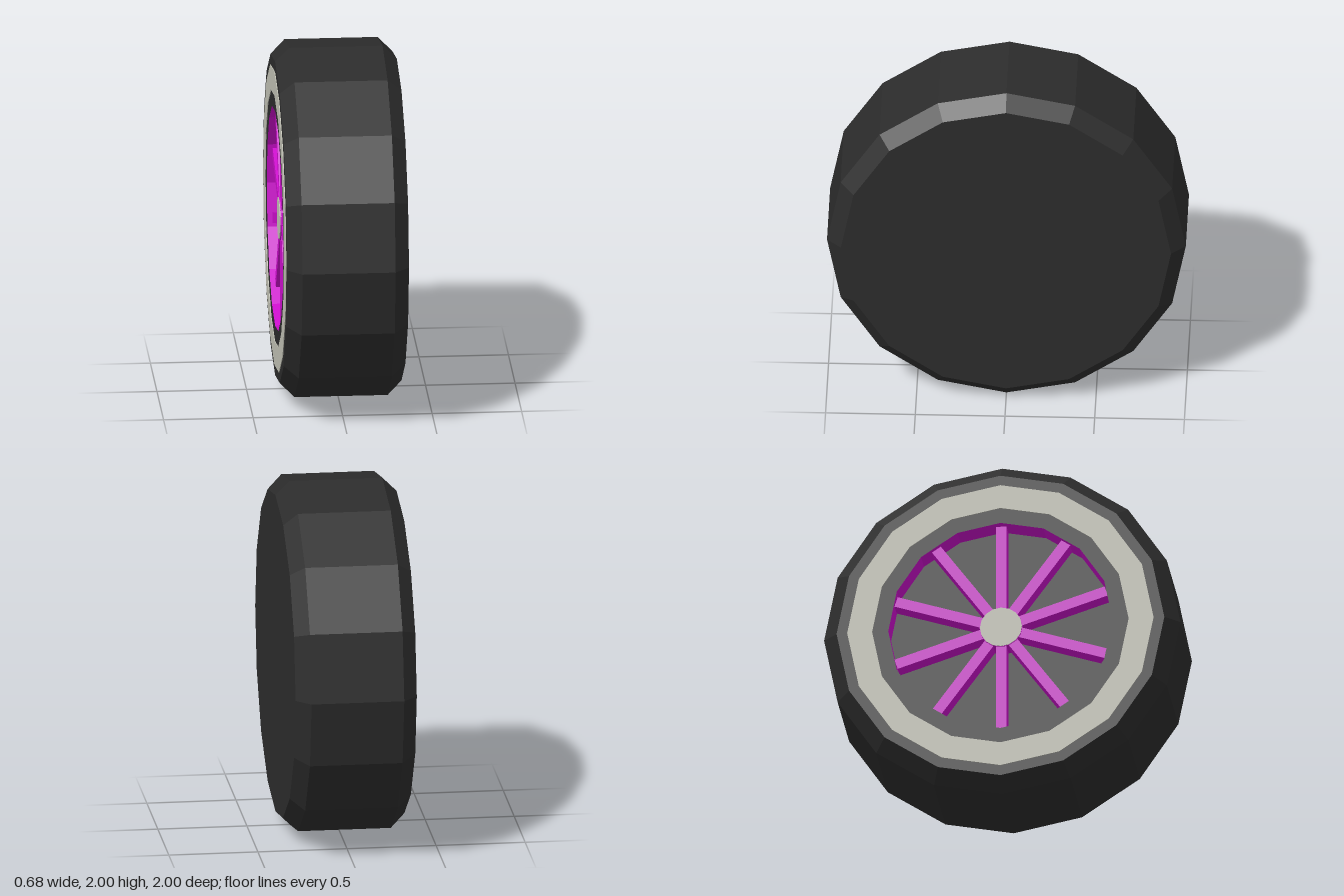
import * as THREE from 'three';

const SIDES = 16;

function flatMaterial(name, color) {
  const m = new THREE.MeshStandardMaterial({ color, flatShading: true });
  m.name = name;
  return m;
}

// Revolve [radius, height] points around the wheel axle
function revolve(name, points, material) {
  const profile = points.map(([r, h]) => new THREE.Vector2(r, h));
  const mesh = new THREE.Mesh(new THREE.LatheGeometry(profile, SIDES), material);
  mesh.name = name;
  return mesh;
}

export function createModel() {
  const rubber = flatMaterial('black rubber', 0x2c2c2c);
  const magenta = flatMaterial('magenta metal', 0xcf0fcf);
  const pale = flatMaterial('pale grey', 0xc2c2b5);

  // Built with the axle along y, then tipped so the open side faces -x
  const wheel = new THREE.Group();
  wheel.name = 'wheel';
  wheel.rotation.z = Math.PI / 2;
  wheel.position.y = 1;

  // Bevelled tyre with a closed inner side
  wheel.add(revolve('tyre', [
    [0, -0.34], [0.92, -0.34], [1, -0.26], [1, 0.26], [0.92, 0.34], [0.63, 0.34],
  ], rubber));

  // Recess: coloured rim wall and dark floor
  wheel.add(revolve('rimWall', [[0.63, 0.34], [0.63, 0.21]], magenta));
  wheel.add(revolve('recessFloor', [[0.63, 0.21], [0, 0.21]], rubber));

  // Thin pale band on the sidewall
  wheel.add(revolve('sidewallBand', [
    [0.86, 0.34], [0.86, 0.344], [0.72, 0.344], [0.72, 0.34],
  ], pale));

  // Ten spokes from hub to rim
  const spokeGeometry = new THREE.BoxGeometry(0.56, 0.09, 0.06);
  spokeGeometry.translate(0.34, 0.266, 0);
  for (let i = 0; i < 10; i++) {
    const spoke = new THREE.Mesh(spokeGeometry, magenta);
    spoke.name = 'spoke';
    spoke.rotation.y = (i * Math.PI) / 5;
    wheel.add(spoke);
  }

  // Hub with a thin cap
  wheel.add(revolve('hub', [[0.12, 0.21], [0.12, 0.318], [0, 0.318]], magenta));
  wheel.add(revolve('hubCap', [[0.118, 0.318], [0.118, 0.322], [0, 0.322]], pale));

  const model = new THREE.Group();
  model.name = 'model';
  model.add(wheel);
  return model;
}
